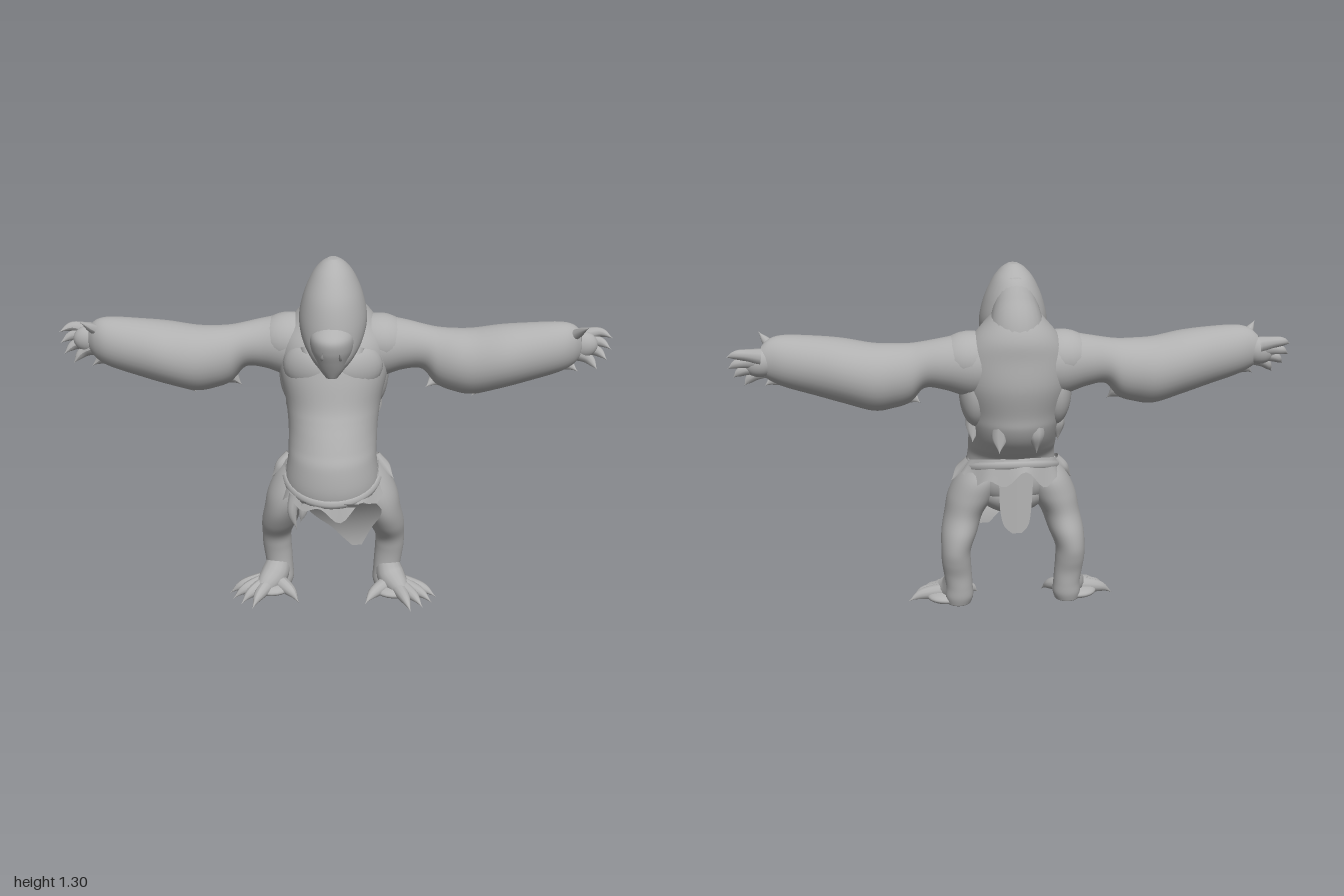
import * as THREE from 'three';

const hide = new THREE.MeshStandardMaterial({ color: 0xb0b0b0, side: THREE.DoubleSide });
hide.name = 'grey hide';

// Catmull-Rom blend of whole station rows
function sample(rows, t) {
  const s = t * (rows.length - 1), i = Math.min(Math.floor(s), rows.length - 2), f = s - i;
  const at = k => rows[Math.max(0, Math.min(rows.length - 1, k))];
  return rows[i].map((b, k) => {
    const a = at(i - 1)[k], c = at(i + 1)[k], d = at(i + 2)[k];
    return b + 0.5 * f * (c - a + f * (2 * a - 5 * b + 4 * c - d + f * (3 * (b - c) + d - a)));
  });
}

// Smooth closed skin through elliptical sections.
// axis 'y': [y, cx, cz, rx, rz]   axis 'x': [x, cy, cz, ry, rz]
function loft(axis, rows, sides = 32, steps = 6) {
  const pos = [], idx = [], n = (rows.length - 1) * steps;
  for (let i = -1; i <= n + 1; i++) {
    const [p, c, cz, r, rz] = sample(rows, Math.max(0, Math.min(1, i / n)));
    const k = i < 0 || i > n ? 0.001 : 1;
    for (let j = 0; j < sides; j++) {
      const t = j / sides * Math.PI * 2;
      const u = Math.sin(t) * r * k, v = cz + Math.cos(t) * rz * k;
      if (axis === 'y') pos.push(c + u, p, v);
      else pos.push(p, c - u, v);
    }
  }
  for (let i = 0; i < n + 2; i++) for (let j = 0; j < sides; j++) {
    const a = i * sides + j, b = i * sides + (j + 1) % sides;
    idx.push(a, b, a + sides, b, b + sides, a + sides);
  }
  const g = new THREE.BufferGeometry();
  g.setAttribute('position', new THREE.Float32BufferAttribute(pos, 3));
  g.setIndex(idx);
  g.computeVertexNormals();
  return g;
}

// Tapered tube through points; radii are blended along its length
function taper(points, radii, sides = 10, n = 14) {
  const curve = new THREE.CatmullRomCurve3(points.map(p => new THREE.Vector3(...p)));
  const g = new THREE.TubeGeometry(curve, n, 1, sides);
  const p = g.attributes.position, nm = g.attributes.normal, v = new THREE.Vector3();
  for (let i = 0; i < p.count; i++) {
    const t = Math.floor(i / (sides + 1)) / n;
    const r = Math.max(0.0005, sample(radii.map(x => [x]), t)[0]);
    v.fromBufferAttribute(nm, i).multiplyScalar(r).add(curve.getPointAt(t));
    p.setXYZ(i, v.x, v.y, v.z);
  }
  return g;
}

function ball(c, r, turnY = 0) {
  return new THREE.SphereGeometry(1, 24, 16).scale(...r).rotateY(turnY).translate(...c);
}

function mirrored(g) {
  const m = g.clone().scale(-1, 1, 1), a = m.index.array;
  for (let i = 0; i < a.length; i += 3) [a[i], a[i + 1]] = [a[i + 1], a[i]];
  m.computeVertexNormals();
  return m;
}

// Hanging cloth through rows [y, left x, right x], curved by a depth rule z(x, y)
function cloth(rows, depth) {
  const g = new THREE.PlaneGeometry(1, 1, 8, 16), p = g.attributes.position;
  for (let i = 0; i < p.count; i++) {
    const [y, x0, x1] = sample(rows, 0.5 - p.getY(i));
    const x = x0 + (x1 - x0) * (p.getX(i) + 0.5);
    p.setXYZ(i, x, y, depth(x, y));
  }
  g.computeVertexNormals();
  return g;
}

export function createModel() {
  const model = new THREE.Group();
  const add = (name, g) => {
    const m = new THREE.Mesh(g, hide);
    m.name = name;
    model.add(m);
  };
  const pair = (name, g) => {
    add('left ' + name, g);
    add('right ' + name, mirrored(g));
  };

  // Torso with hanging belly and humped back
  add('torso', loft('y', [
    [0.43, 0, 0.05, 0.10, 0.10], [0.46, 0, 0.07, 0.155, 0.15], [0.51, 0, 0.07, 0.172, 0.168],
    [0.60, 0, 0.065, 0.16, 0.165], [0.65, 0, 0.032, 0.16, 0.178], [0.70, 0, 0.0, 0.162, 0.188],
    [0.75, 0, -0.024, 0.168, 0.188], [0.80, 0, -0.038, 0.176, 0.182], [0.90, 0, -0.06, 0.197, 0.182],
    [1.0, 0, -0.075, 0.19, 0.165], [1.07, 0, -0.10, 0.15, 0.137], [1.13, 0, -0.10, 0.10, 0.11],
    [1.18, 0, -0.09, 0.06, 0.07]], 40));
  add('pelvis', ball([0, 0.46, 0.025], [0.13, 0.085, 0.11]));
  add('mane', taper([[0, 1.24, -0.045], [0, 1.17, -0.085], [0, 1.09, -0.125], [0, 0.95, -0.13]],
    [0.06, 0.085, 0.105, 0.10], 24, 20));
  pair('chest muscle', ball([0.085, 0.925, 0.045], [0.10, 0.085, 0.055], 0.45));
  pair('shoulder muscle', ball([0.16, 0.985, -0.09], [0.12, 0.10, 0.105]));
  pair('side muscle', ball([0.14, 0.87, -0.085], [0.06, 0.13, 0.09]));

  // Tall domed head with a heavy muzzle tapering to the chin
  add('head', loft('y', [
    [0.92, 0, 0.115, 0.022, 0.022], [0.97, 0, 0.085, 0.07, 0.08], [1.03, 0, 0.045, 0.105, 0.115],
    [1.10, 0, 0.0, 0.120, 0.153], [1.18, 0, -0.01, 0.105, 0.14], [1.25, 0, -0.015, 0.075, 0.10],
    [1.29, 0, -0.012, 0.044, 0.055], [1.307, 0, -0.01, 0.018, 0.025]], 36));
  add('muzzle', loft('y', [
    [0.915, 0, 0.125, 0.02, 0.018], [0.945, 0, 0.115, 0.044, 0.045], [0.98, 0, 0.105, 0.06, 0.073],
    [1.02, 0, 0.095, 0.076, 0.10], [1.06, 0, 0.09, 0.078, 0.108], [1.09, 0, 0.075, 0.065, 0.09],
    [1.115, 0, 0.06, 0.04, 0.06]]));
  pair('fang', taper([[0.03, 0.99, 0.155], [0.031, 1.0, 0.175], [0.029, 1.025, 0.193]], [0.008, 0.006, 0]));
  pair('cheek tuft', taper([[0.085, 1.0, 0.05], [0.08, 0.96, 0.07], [0.07, 0.92, 0.075]], [0.03, 0.02, 0]));

  // Upper arm, then the shaggy forearm that overhangs the elbow
  pair('arm', loft('x', [
    [0.05, 0.97, -0.09, 0.10, 0.11], [0.15, 0.965, -0.09, 0.115, 0.108], [0.25, 0.972, -0.09, 0.092, 0.088],
    [0.32, 0.968, -0.08, 0.082, 0.082], [0.37, 0.938, -0.07, 0.104, 0.094], [0.43, 0.926, -0.06, 0.114, 0.106],
    [0.50, 0.923, -0.055, 0.12, 0.115], [0.60, 0.945, -0.045, 0.115, 0.118], [0.70, 0.965, -0.04, 0.105, 0.10],
    [0.80, 0.983, -0.04, 0.092, 0.08], [0.85, 0.99, -0.045, 0.075, 0.058], [0.88, 0.99, -0.055, 0.05, 0.035]]));
  [[[0.42, 0.87, -0.06], [0.37, 0.85, -0.06], [0.335, 0.822, -0.05]],
    [[0.56, 0.88, -0.03], [0.53, 0.835, -0.03], [0.50, 0.798, -0.03]],
    [[0.78, 0.95, -0.04], [0.84, 0.92, -0.04], [0.875, 0.895, -0.03]],
  ].forEach(p => pair('forearm tuft', taper(p, [0.05, 0.03, 0])));

  // Hand with four clawed fingers and a raised thumb
  pair('palm', ball([0.885, 0.985, -0.065], [0.06, 0.05, 0.04]));
  [[[0.88, 1.01, -0.085], [0.955, 1.022, -0.095], [0.998, 1.008, -0.07]],
    [[0.89, 0.995, -0.075], [0.955, 0.99, -0.085], [0.995, 0.968, -0.065]],
    [[0.89, 0.975, -0.065], [0.945, 0.96, -0.07], [0.98, 0.932, -0.05]],
    [[0.87, 0.96, -0.055], [0.915, 0.935, -0.055], [0.945, 0.90, -0.04]],
    [[0.80, 1.0, -0.04], [0.85, 1.035, -0.015], [0.893, 1.075, 0.03]],
  ].forEach(p => pair('finger', taper(p, [0.03, 0.022, 0.015, 0])));

  // Bowed leg with heavy thigh and narrow knee
  pair('leg', loft('y', [
    [0.03, 0.205, -0.01, 0.045, 0.046], [0.06, 0.203, -0.015, 0.052, 0.05], [0.10, 0.203, -0.018, 0.05, 0.05],
    [0.15, 0.208, -0.02, 0.052, 0.052], [0.20, 0.213, -0.023, 0.054, 0.062], [0.25, 0.213, -0.02, 0.055, 0.074],
    [0.31, 0.20, 0.003, 0.066, 0.095], [0.38, 0.18, 0.03, 0.072, 0.105], [0.45, 0.15, 0.035, 0.088, 0.115],
    [0.52, 0.12, 0.03, 0.085, 0.11], [0.58, 0.10, 0.03, 0.06, 0.08]]));

  // Wedge-shaped turned-out foot with splayed clawed toes
  pair('instep', taper([[0.205, 0.13, -0.015], [0.22, 0.085, 0.015], [0.25, 0.058, 0.06], [0.275, 0.04, 0.10]],
    [0.045, 0.052, 0.042, 0.02], 16));
  pair('sole', ball([0.24, 0.042, 0.035], [0.085, 0.025, 0.075], 0.4));
  [[0.392, 0.05], [0.375, 0.095], [0.34, 0.135], [0.295, 0.168], [0.125, 0.115]].forEach(([x, z]) => {
    const way = (f, y) => [0.225 + (x - 0.225) * f, y, 0.02 + (z - 0.02) * f];
    pair('toe', taper([way(0, 0.065), way(0.4, 0.055), way(0.75, 0.04), way(1, 0.012)],
      [0.03, 0.028, 0.02, 0], 12));
  });

  // Rolled waistband dipping under the belly
  const band = [];
  for (let i = 0; i < 16; i++) {
    const t = i / 16 * Math.PI * 2;
    band.push(new THREE.Vector3(Math.sin(t) * 0.165, 0.535 - 0.06 * Math.cos(t), 0.06 + Math.cos(t) * 0.163));
  }
  add('waistband', new THREE.TubeGeometry(new THREE.CatmullRomCurve3(band, true), 64, 0.02, 8, true));

  // Ragged skirt: a flared cylinder with a jagged hem
  const skirt = new THREE.CylinderGeometry(1, 1, 1, 72, 4, true);
  const sp = skirt.attributes.position;
  for (let i = 0; i < sp.count; i++) {
    const x = sp.getX(i), z = sp.getZ(i), d = 0.5 - sp.getY(i), t = Math.atan2(x, z);
    const drop = 0.08 + 0.02 * Math.sin(t * 9) + 0.015 * Math.sin(t * 5 + 1);
    sp.setXYZ(i, x * (0.168 + 0.035 * d), 0.57 - 0.05 * z - d * drop, 0.055 + z * (0.165 + 0.02 * d));
  }
  skirt.computeVertexNormals();
  add('skirt', skirt);
  pair('hip rag', taper([[0.155, 0.58, 0.02], [0.185, 0.54, 0.03], [0.225, 0.495, 0.04]], [0.02, 0.025, 0]));
  add('front flap', cloth([[0.48, -0.11, 0.16], [0.44, -0.085, 0.18], [0.40, -0.05, 0.175], [0.36, 0, 0.15],
    [0.32, 0.035, 0.13], [0.28, 0.075, 0.11]],
  (x, y) => 0.157 + 2 * (y - 0.28) ** 2 - (x - 0.04) ** 2));
  add('back flap', cloth([[0.57, -0.065, 0.065], [0.50, -0.06, 0.06], [0.43, -0.055, 0.058], [0.37, -0.045, 0.045],
    [0.34, -0.02, 0.015]], (x, y) => -0.118 + 0.05 * (y - 0.45) + x * x));
  add('tassel', taper([[-0.13, 0.49, 0.17], [-0.14, 0.42, 0.175], [-0.125, 0.34, 0.16]], [0.022, 0.017, 0]));
  add('tassel', taper([[-0.09, 0.48, 0.19], [-0.10, 0.43, 0.195], [-0.11, 0.38, 0.18]], [0.02, 0.015, 0]));

  // Ragged fur fringe at the base of the back and flanks
  [[0.06, 0.78, -0.165], [0.14, 0.80, -0.08]].forEach(([x, y, z]) => pair('fur fringe', taper(
    [[x, y, z], [x * 1.06, y - 0.06, z - 0.005], [x * 1.1, y - 0.12, z - 0.01]], [0.03, 0.03, 0])));
  return model;
}
